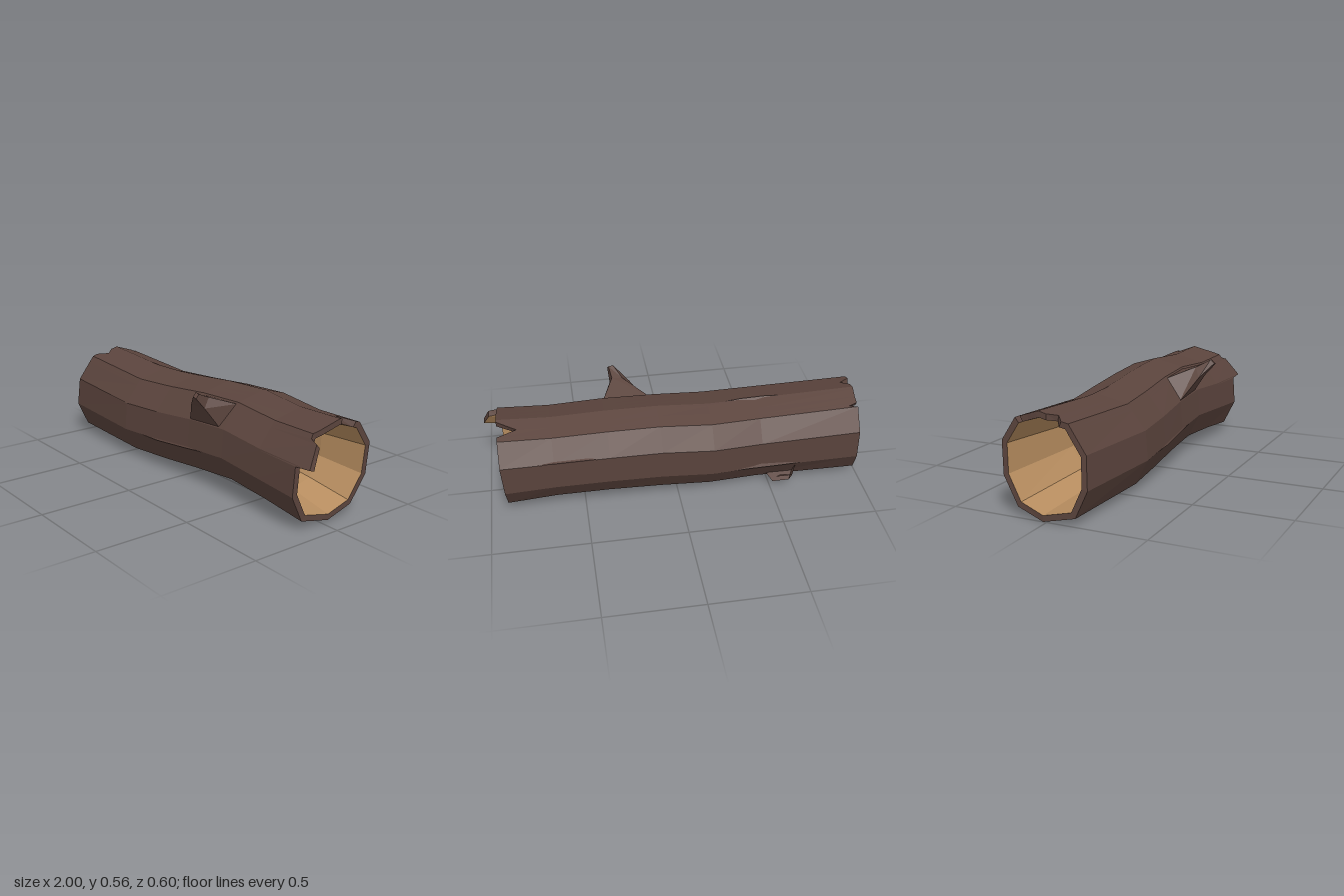
import * as THREE from 'three';

// Log centreline and radii along x: [x, centre y, centre z, radius y, radius z]
const STATIONS = [
  [-1, 0.25, -0.022, 0.25, 0.233],
  [-0.43, 0.2375, -0.008, 0.2375, 0.243],
  [-0.17, 0.248, -0.033, 0.238, 0.248],
  [0.1, 0.27, -0.045, 0.24, 0.24],
  [0.37, 0.285, -0.057, 0.235, 0.243],
  [0.65, 0.268, -0.043, 0.233, 0.238],
  [0.91, 0.26, -0.037, 0.25, 0.243],
];

// Uneven ten-sided section: corners as [z, y] in units of the radii
const CORNERS = [
  [0.95, 0.33], [0.55, 0.85], [-0.14, 1.01], [-0.68, 0.84], [-1.0, 0.38],
  [-0.97, -0.28], [-0.6, -0.82], [0.02, -1.0], [0.73, -0.84], [1.0, -0.3],
];

// Lengthwise columns: [position around section, x of left end, x of right end];
// fractional positions make the splinters and notches
const COLUMNS = [
  [0, -0.985, 1.0], [0.75, -0.978, 0.965], [0.85, -0.977, 0.92], [1, -0.975, 0.915],
  [1.2, -0.98, 0.92], [1.5, -0.92, 0.92], [1.75, -0.96, 0.92], [2, -0.96, 0.92],
  [2.1, -0.96, 0.92], [2.5, -0.955, 0.82], [2.8, -0.955, 0.92], [2.92, -0.91, 0.92],
  [3, -0.955, 0.92], [4, -0.955, 0.92], [5, -0.96, 0.91], [6, -0.98, 0.905],
  [7, -1, 0.905], [8, -1, 0.905], [9, -1, 0.908], [9.95, -0.986, 0.91],
];

// Point on the log at length x, section position t, radius scale k
function surface(x, t, k = 1) {
  let i = 0;
  while (i < STATIONS.length - 2 && x > STATIONS[i + 1][0]) i++;
  const a = STATIONS[i], b = STATIONS[i + 1];
  const f = THREE.MathUtils.clamp((x - a[0]) / (b[0] - a[0]), 0, 1);
  const [, cy, cz, ry, rz] = a.map((v, j) => THREE.MathUtils.lerp(v, b[j], f));
  const n = Math.floor(t), u = t - n;
  const p = CORNERS[(n + 10) % 10], q = CORNERS[(n + 11) % 10];
  const z = THREE.MathUtils.lerp(p[0], q[0], u), y = THREE.MathUtils.lerp(p[1], q[1], u);
  return [x, cy + y * ry * k, cz + z * rz * k];
}

// Skin a list of closed loops (each clockwise seen from the last loop)
function loft(name, rows, material) {
  const pos = [];
  const n = rows[0].length;
  for (let i = 0; i < rows.length - 1; i++) {
    for (let j = 0; j < n; j++) {
      const m = (j + 1) % n;
      const a = rows[i][j], b = rows[i + 1][j], c = rows[i + 1][m], d = rows[i][m];
      pos.push(...a, ...b, ...c, ...a, ...c, ...d);
    }
  }
  const geometry = new THREE.BufferGeometry();
  geometry.setAttribute('position', new THREE.Float32BufferAttribute(pos, 3));
  geometry.computeVertexNormals();
  const mesh = new THREE.Mesh(geometry, material);
  mesh.name = name;
  return mesh;
}

// A loop collapsed to its middle, used to close an end
function capRow(row) {
  const c = [0, 1, 2].map((k) => row.reduce((s, p) => s + p[k], 0) / row.length);
  return row.map(() => c);
}

export function createModel() {
  const group = new THREE.Group();
  const bark = new THREE.MeshStandardMaterial({ color: 0x5b443d, flatShading: true });
  const wood = new THREE.MeshStandardMaterial({ color: 0xb88e60, flatShading: true });

  // Hollow trunk: bark outside, ragged rims, pale wood inside
  const middle = STATIONS.slice(1, -1).map((s) => s[0]);
  const leftEnd = (k) => COLUMNS.map(([t, l]) => surface(l, t, k));
  const rightEnd = (k) => COLUMNS.map(([t, , r]) => surface(r, t, k));
  const wall = (k, endK) => [
    leftEnd(endK),
    ...middle.map((x) => COLUMNS.map(([t]) => surface(x, t, k))),
    rightEnd(endK),
  ];
  group.add(loft('barkShell', wall(1, 1), bark));
  group.add(loft('hollowInside', wall(0.78, 0.88).reverse(), wood));
  group.add(loft('leftRim', [leftEnd(0.88), leftEnd(1)], bark));
  group.add(loft('rightRim', [rightEnd(1), rightEnd(0.88)], bark));

  // Broken branch stub
  const tip = [[0.29, 0.535, 0.3], [0.285, 0.555, 0.28], [0.31, 0.55, 0.28], [0.315, 0.53, 0.3]];
  group.add(loft('branchStub', [
    [[0.1, 0.345, 0.175], [0.12, 0.465, 0.09], [0.36, 0.475, 0.08], [0.33, 0.365, 0.17]],
    [[0.2, 0.465, 0.245], [0.245, 0.515, 0.21], [0.3, 0.52, 0.21], [0.31, 0.47, 0.245]],
    tip, capRow(tip),
  ], bark));

  // Low knot on the back
  const knotLoop = (x0, x1, t0, t1, k) =>
    [[x0, t0], [x0, t1], [x1, t1], [x1, t0]].map(([x, t]) => surface(x, t, k));
  const knotRows = [
    knotLoop(-0.63, -0.48, 5.15, 5.85, 0.96),
    knotLoop(-0.6, -0.51, 5.28, 5.72, 1.23),
    knotLoop(-0.57, -0.54, 5.42, 5.58, 1.16),
  ];
  // corner order must run clockwise seen from outside
  knotRows.forEach((row) => row.reverse());
  group.add(loft('knot', [...knotRows, capRow(knotRows[2])], bark));

  // Lifted strips of bark along the corners
  const strips = [[9, -0.4, 0.32], [2, -0.63, -0.2], [4, 0.3, 0.8], [5, -0.75, -0.2]];
  for (const [t, x0, x1] of strips) {
    const rows = [0, 0.35, 0.65, 1].map((f) => {
      const x = THREE.MathUtils.lerp(x0, x1, f);
      const w = f === 0 || f === 1 ? 0 : 1;
      return [
        surface(x, t - 0.14 * w, 0.98),
        surface(x, t - 0.03 * w, 0.98 + 0.045 * w),
        surface(x, t + 0.08 * w, 0.98),
      ];
    });
    group.add(loft('barkStrip', rows, bark));
  }
  return group;
}
